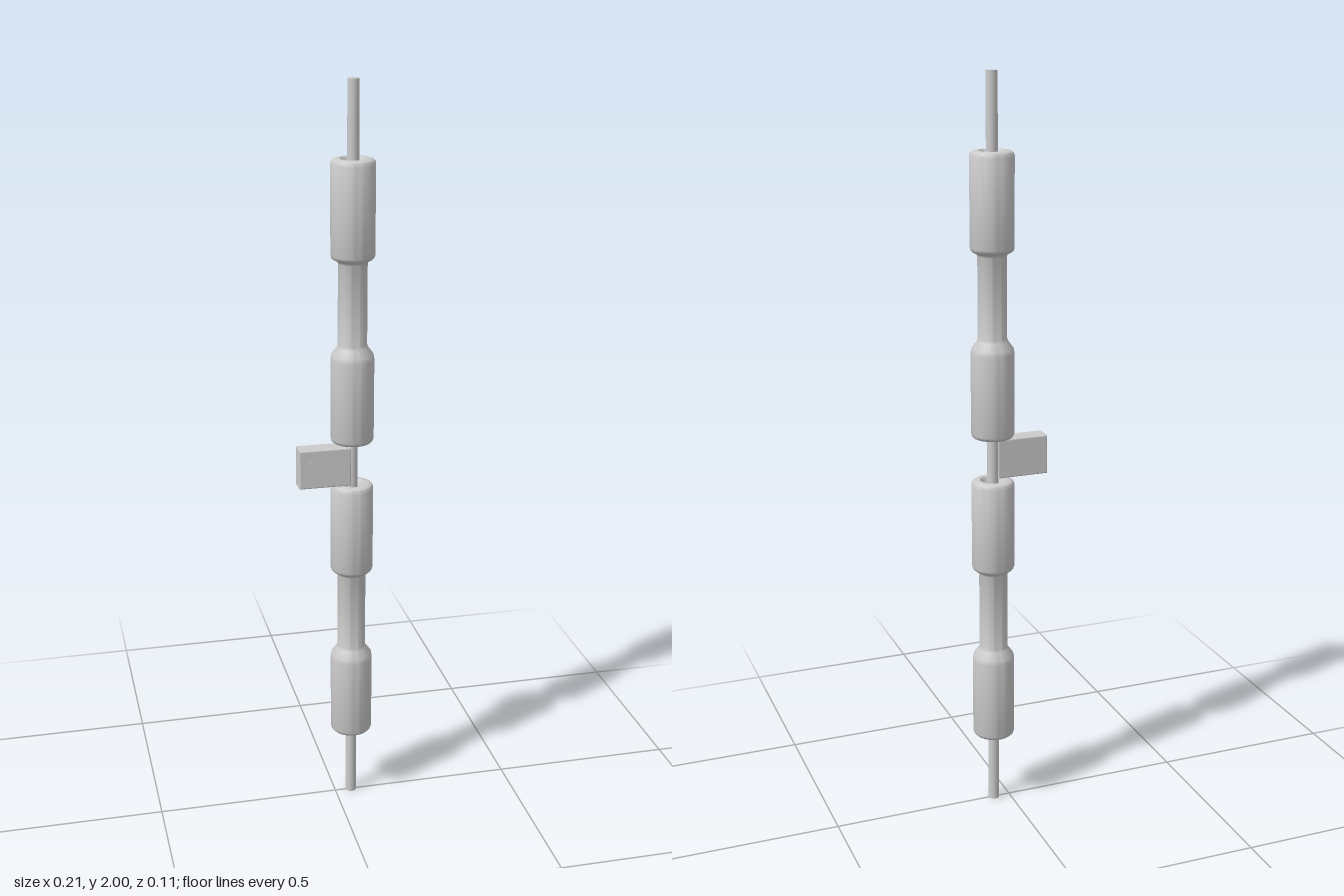
import * as THREE from 'three';
import { toCreasedNormals } from 'three/addons/utils/BufferGeometryUtils.js';

const AXIS_X = 0.045;
const material = new THREE.MeshStandardMaterial({ color: 0xcccccc });

function part(name, geometry, x, y, z) {
  const mesh = new THREE.Mesh(geometry, material);
  mesh.name = name;
  mesh.position.set(x, y, z);
  return mesh;
}

// Grip profile, bottom to top: countersunk ends, rounded rims, narrow waist
function gripGeometry() {
  const profile = [
    [0.015, 0.03], [0.02, 0.03], [0.03, 0.006], [0.034, 0],
    [0.045, 0], [0.051, 0.002], [0.055, 0.006], [0.057, 0.012],
    [0.057, 0.228], [0.055, 0.24], [0.041, 0.259], [0.038, 0.267],
    [0.038, 0.48], [0.04, 0.485], [0.051, 0.491], [0.055, 0.495], [0.057, 0.501],
    [0.057, 0.732], [0.055, 0.738], [0.051, 0.742], [0.045, 0.744],
    [0.034, 0.744], [0.03, 0.738], [0.02, 0.714], [0.015, 0.714],
  ].map(([r, y]) => new THREE.Vector2(r, y));
  return toCreasedNormals(new THREE.LatheGeometry(profile, 48), 0.7);
}

// Rectangular tag with slightly softened edges
function tagGeometry(width, height, depth, bevel) {
  const w = width / 2 - bevel, h = height / 2 - bevel;
  const shape = new THREE.Shape([
    new THREE.Vector2(-w, -h), new THREE.Vector2(w, -h),
    new THREE.Vector2(w, h), new THREE.Vector2(-w, h),
  ]);
  const geometry = new THREE.ExtrudeGeometry(shape, {
    depth: depth - 2 * bevel, bevelThickness: bevel, bevelSize: bevel, bevelSegments: 2,
  });
  return geometry.translate(0, 0, bevel - depth / 2);
}

// Upright oval button
function buttonGeometry(width, height, depth) {
  const r = width / 2, s = height / 2 - r;
  const shape = new THREE.Shape();
  shape.absarc(0, s, r, 0, Math.PI);
  shape.absarc(0, -s, r, Math.PI, 2 * Math.PI);
  shape.closePath();
  return new THREE.ExtrudeGeometry(shape, { depth, bevelEnabled: false, curveSegments: 12 });
}

export function createModel() {
  const model = new THREE.Group();
  model.name = 'cordWithGrips';

  // Cord running the full height
  model.add(part('cord', new THREE.CylinderGeometry(0.015, 0.015, 2, 24), AXIS_X, 1, 0));

  // Two identical grips
  const grip = gripGeometry();
  model.add(part('lowerGrip', grip, AXIS_X, 0.201, 0));
  model.add(part('upperGrip', grip, AXIS_X, 1.062, 0));

  // Side tag and its button
  const tag = new THREE.Group();
  tag.name = 'sideTag';
  tag.add(part('tagBody', tagGeometry(0.139, 0.106, 0.051, 0.003), -0.0345, 1.003, 0.0095));
  tag.add(part('tagButton', buttonGeometry(0.019, 0.036, 0.006), -0.071, 1.01, 0.032));
  model.add(tag);

  return model;
}
